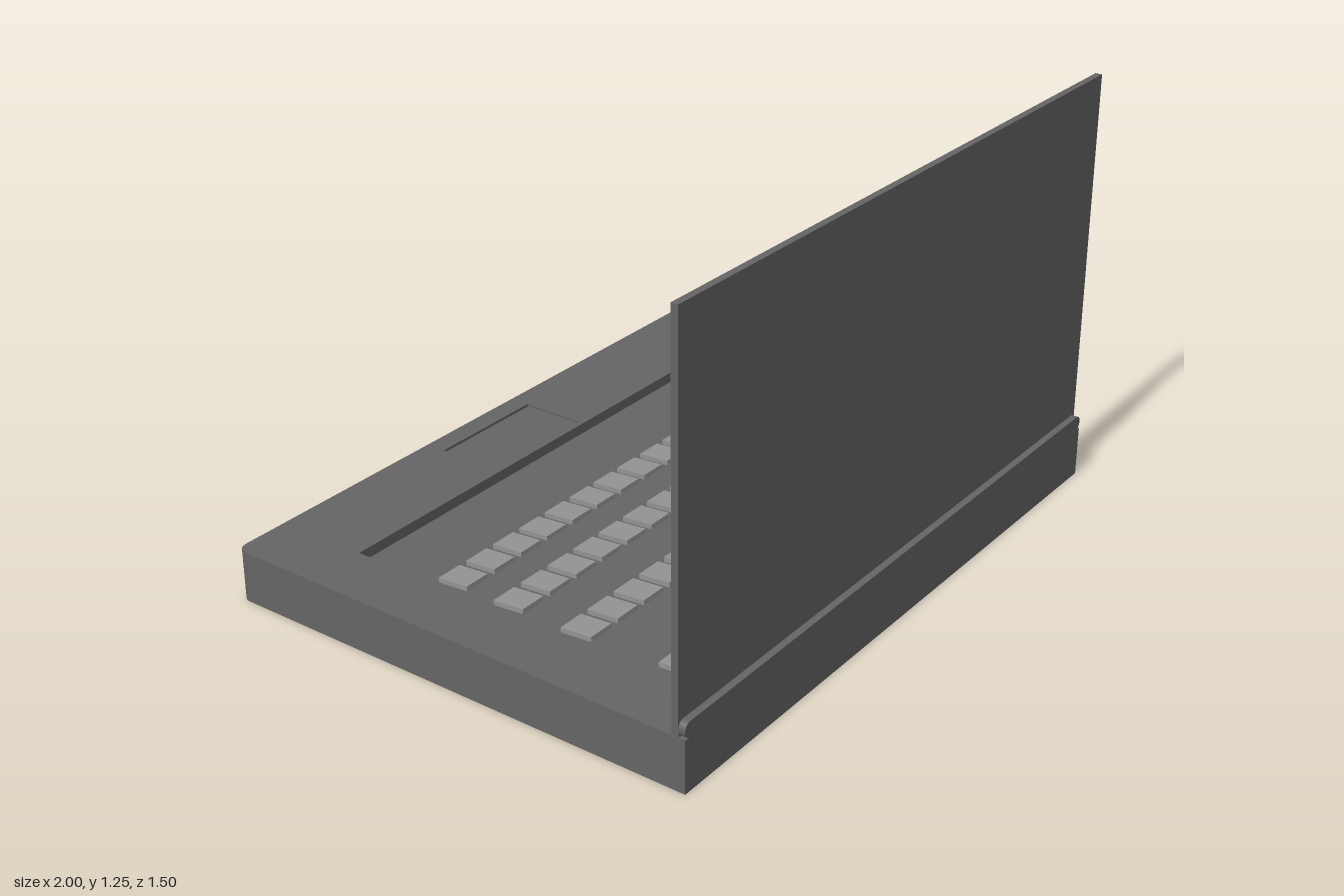
import * as THREE from 'three';

const bodyMat = new THREE.MeshStandardMaterial({ color: 0x656565 });
const lightMat = new THREE.MeshStandardMaterial({ color: 0x949494 });
const funnelMat = new THREE.MeshStandardMaterial({ color: 0x656565, side: THREE.DoubleSide });

// Rounded rectangle outline between two corners
function roundRect(target, x0, y0, x1, y1, r) {
  target.moveTo(x0 + r, y0);
  target.lineTo(x1 - r, y0);
  target.absarc(x1 - r, y0 + r, r, -Math.PI / 2, 0);
  target.lineTo(x1, y1 - r);
  target.absarc(x1 - r, y1 - r, r, 0, Math.PI / 2);
  target.lineTo(x0 + r, y1);
  target.absarc(x0 + r, y1 - r, r, Math.PI / 2, Math.PI);
  target.lineTo(x0, y0 + r);
  target.absarc(x0 + r, y0 + r, r, Math.PI, Math.PI * 1.5);
  return target;
}

function rect(target, x0, y0, x1, y1) {
  target.moveTo(x0, y0);
  target.lineTo(x1, y0);
  target.lineTo(x1, y1);
  target.lineTo(x0, y1);
  target.closePath();
  return target;
}

const extrude = (shape, depth) =>
  new THREE.ExtrudeGeometry(shape, { depth, bevelEnabled: false, curveSegments: 8 });

export function createModel() {
  const model = new THREE.Group();
  model.name = 'laptop';

  function add(parent, name, geometry, material = bodyMat) {
    const mesh = new THREE.Mesh(geometry, material);
    mesh.name = name;
    parent.add(mesh);
    return mesh;
  }
  function box(parent, name, x0, x1, y0, y1, z0, z1, material) {
    const mesh = add(parent, name, new THREE.BoxGeometry(x1 - x0, y1 - y0, z1 - z0), material);
    mesh.position.set((x0 + x1) / 2, (y0 + y1) / 2, (z0 + z1) / 2);
    return mesh;
  }
  // Plan outline (x, -z) raised upwards from y
  const plan = (shape, y, h) => extrude(shape, h).rotateX(-Math.PI / 2).translate(0, y, 0);
  // Side outline (-z, y) pushed outwards from x
  const side = (shape, x, d) => extrude(shape, d).rotateY(Math.PI / 2).translate(x, 0, 0);

  const L = -1, R = 0.993, Z = 0.748, H = 0.152, FLOOR = 0.12;
  const WALL = 0.94;  // inner face of the port wall
  const CORNER = 0.035;

  // Base outline: rounded front corners, stepped in where the port wall sits
  function footprint() {
    const s = new THREE.Shape();
    s.moveTo(L, -Z);
    s.lineTo(WALL, -Z);
    s.lineTo(WALL, Z - CORNER);
    s.lineTo(R, Z - CORNER);
    s.absarc(R - CORNER, Z - CORNER, CORNER, 0, Math.PI / 2);
    s.lineTo(L + CORNER, Z);
    s.absarc(L + CORNER, Z - CORNER, CORNER, Math.PI / 2, Math.PI);
    s.closePath();
    return s;
  }

  // Base: lower slab and a deck with keyboard and trackpad openings
  const base = new THREE.Group();
  base.name = 'base';
  model.add(base);
  add(base, 'lowerCase', plan(footprint(), 0, FLOOR));
  const deck = footprint();
  deck.holes.push(rect(new THREE.Path(), -0.82, -0.63, 0.814, 0.467));
  deck.holes.push(rect(new THREE.Path(), -0.24, 0.485, 0.142, 0.685));
  add(base, 'deck', plan(deck, FLOOR, H - FLOOR));
  box(base, 'trackpad', -0.24, 0.142, FLOOR, 0.144, -0.685, -0.485);

  // Port wall with two slots and a round jack
  const ports = [[-0.11, 0.145], [0.305, 0.56]];
  const wall = rect(new THREE.Shape(), -Z, 0, Z - CORNER, H);
  for (const [a, b] of ports) wall.holes.push(roundRect(new THREE.Path(), a, 0.02, b, 0.11, 0.035));
  wall.holes.push(new THREE.Path().absarc(-0.51, 0.076, 0.047, 0, Math.PI * 2));
  add(base, 'portWall', side(wall, WALL, R - WALL));
  for (const [a, b] of ports) {
    const tongue = roundRect(new THREE.Shape(), a + 0.03, 0.052, b - 0.035, 0.077, 0.012);
    add(base, 'portTongue', side(tongue, WALL, 1 - WALL), lightMat);
  }
  const funnel = new THREE.CylinderGeometry(0.033, 0.047, R - WALL, 24, 1, true).rotateZ(Math.PI / 2);
  add(base, 'jackFunnel', funnel, funnelMat).position.set((R + WALL) / 2, 0.076, 0.51);

  // Keyboard: four rows of fourteen thin keys, tipped slightly forward
  const keyboard = new THREE.Group();
  keyboard.name = 'keyboard';
  model.add(keyboard);
  const rows = [[-0.177, -0.771, 0.133], [0.014, -0.771, 0.133], [0.238, -0.771, 0.133], [0.545, -0.765, 0.144]];
  for (const [z, x0, y] of rows) {
    for (let i = 0; i < 14; i++) {
      const x = x0 + i * 0.1097;
      const key = box(keyboard, 'key', x, x + 0.083, y - 0.007, y + 0.007, z - 0.05, z + 0.05, lightMat);
      key.rotation.x = -0.08;
    }
  }

  // Hinge strip behind the lid, with rounded ends
  const strip = roundRect(new THREE.Shape(), L, H, R, 0.196, 0.02);
  add(model, 'hingeStrip', extrude(strip, Z - 0.727).translate(0, 0, 0.727));

  // Lid: back panel, raised bezel around the screen, camera
  const lid = new THREE.Group();
  lid.name = 'lid';
  model.add(lid);
  box(lid, 'screenPanel', L, R, H, 1.25, 0.718, 0.728);
  const bezel = rect(new THREE.Shape(), L, H, R, 1.25);
  bezel.holes.push(rect(new THREE.Path(), L + 0.035, H + 0.04, R - 0.035, 1.25 - 0.04));
  add(lid, 'bezel', extrude(bezel, 0.01).translate(0, 0, 0.708));
  const camera = add(lid, 'webcam', new THREE.CylinderGeometry(0.008, 0.008, 0.004, 16).rotateX(Math.PI / 2));
  camera.position.set(0, 1.23, 0.7095);

  return model;
}
